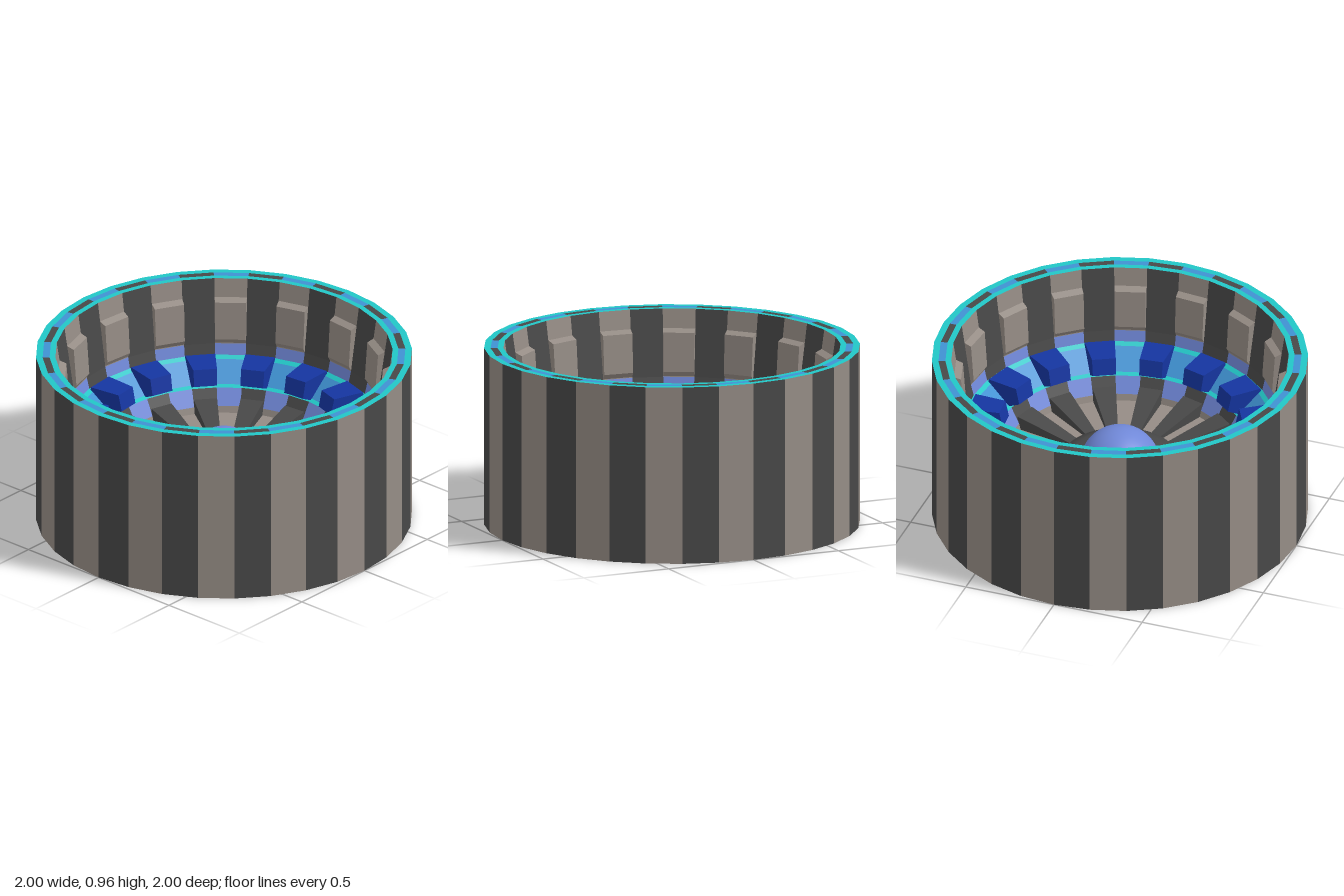
import * as THREE from 'three';
import { mergeGeometries } from 'three/addons/utils/BufferGeometryUtils.js';

const SIDES = 32, STEP = (Math.PI * 2) / SIDES;
const LIGHT = 0x958c85, DARK = 0x484848, CYAN = 0x22c6c6;
const BLUE = 0x3f92d2, NAVY = 0x1535a0, VIOLET = 0x7088d8;

export function createModel() {
  const model = new THREE.Group();
  const points = (profile) => profile.map(([r, y]) => new THREE.Vector2(r, y));

  function add(name, geometry, color, flatShading = true) {
    const material = new THREE.MeshStandardMaterial({ color, flatShading });
    const mesh = new THREE.Mesh(geometry, material);
    mesh.name = name;
    model.add(mesh);
  }

  // Full ring of one colour
  const ring = (name, color, profile) =>
    add(name, new THREE.LatheGeometry(points(profile), SIDES), color);

  // Every second sector, starting at 0 (even) or 1 (odd)
  function everySecond(first, make) {
    const list = [];
    for (let i = first; i < SIDES; i += 2) list.push(make(i));
    return mergeGeometries(list);
  }

  // Ring whose sectors alternate between two colours
  function stripes(name, evenColor, oddColor, profile) {
    [evenColor, oddColor].forEach((color, first) => {
      const geometry = everySecond(first, (i) =>
        new THREE.LatheGeometry(points(profile), 1, i * STEP, STEP));
      add(name + (first ? 'Odd' : 'Even'), geometry, color);
    });
  }

  // Solid blocks: an (r, y) outline swept across one sector
  function blocks(name, color, first, outline) {
    const geometry = everySecond(first, (i) => {
      const g = new THREE.ExtrudeGeometry(new THREE.Shape(points(outline)),
        { depth: 1, bevelEnabled: false });
      const p = g.attributes.position;
      for (let k = 0; k < p.count; k++) {
        const r = p.getX(k), a = (i + 1 - p.getZ(k)) * STEP;
        p.setXYZ(k, r * Math.sin(a), p.getY(k), r * Math.cos(a));
      }
      g.computeVertexNormals();
      return g;
    });
    add(name, geometry, color);
  }

  // Outside
  ring('base', LIGHT, [[0, 0], [1, 0]]);
  stripes('outerWall', DARK, LIGHT, [[1, 0], [1, 0.96]]);

  // Rim
  ring('rimOuterTrim', CYAN, [[1, 0.96], [0.965, 0.96]]);
  stripes('rimPatches', DARK, BLUE, [[0.965, 0.96], [0.928, 0.96]]);
  ring('rimInnerTrim', CYAN, [[0.928, 0.96], [0.897, 0.96]]);

  // Inner wall with pads on the light sectors
  stripes('innerWall', DARK, LIGHT, [[0.897, 0.96], [0.845, 0.6]]);
  blocks('wallPads', LIGHT, 1, [[0.89, 0.86], [0.845, 0.84], [0.83, 0.63], [0.86, 0.58]]);
  stripes('wallFoot', DARK, VIOLET, [[0.845, 0.6], [0.83, 0.54]]);

  // Sloping track with blocks on the dark sectors
  ring('trackOuterTrim', CYAN, [[0.83, 0.54], [0.808, 0.525]]);
  ring('track', BLUE, [[0.808, 0.525], [0.7, 0.43]]);
  ring('trackInnerTrim', CYAN, [[0.7, 0.43], [0.678, 0.42]]);
  blocks('trackBlocks', NAVY, 0,
    [[0.63, 0.455], [0.7, 0.42], [0.83, 0.5], [0.82, 0.55], [0.65, 0.545]]);
  stripes('lowerWall', DARK, VIOLET, [[0.678, 0.42], [0.63, 0.335]]);

  // Floor with wedge spokes
  ring('floor', LIGHT, [[0.63, 0.335], [0.62, 0.3], [0, 0.3]]);
  blocks('spokes', DARK, 0, [[0.64, 0.29], [0.64, 0.375], [0.3, 0.315], [0.3, 0.29]]);

  // Hub
  const hub = [[0.315, 0.29], [0.31, 0.325], [0.25, 0.35], [0.2, 0.36]];
  add('hub', new THREE.LatheGeometry(points(hub), 48), DARK, false);
  const dome = new THREE.SphereGeometry(0.215, 32, 20);
  dome.translate(0, 0.29, 0);
  add('hubBall', dome, VIOLET, false);

  return model;
}
